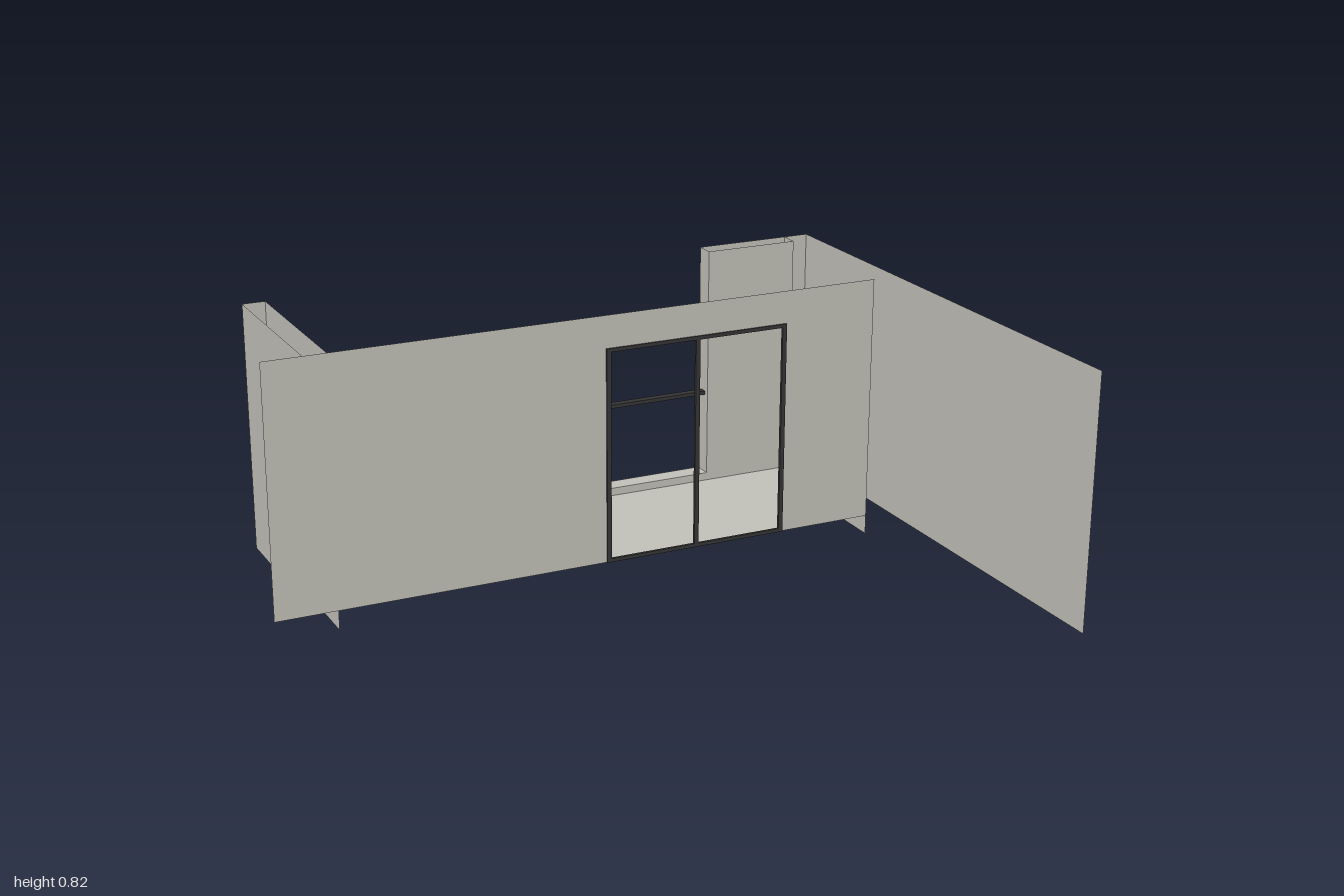
import * as THREE from 'three';

export function createModel() {
  const model = new THREE.Group();
  const plaster = new THREE.MeshStandardMaterial({ color: 0xc4c2ba, side: THREE.DoubleSide });
  plaster.name = 'warm grey plaster';
  const metal = new THREE.MeshStandardMaterial({ color: 0x363636 });
  metal.name = 'dark metal';

  const BASE = 0.06, TOP = 0.825;          // wall heights
  const BACK = -0.8, INNER = -0.74, FRONT = -0.24;
  const LEFT = 0.92, RIGHT = -0.81, OPEN = 0.617;

  function add(name, geometry, material, parent = model) {
    const mesh = new THREE.Mesh(geometry, material);
    mesh.name = name;
    parent.add(mesh);
    return mesh;
  }
  // Thin sheet facing z, spanning x0..x1
  function sheetZ(name, x0, x1, z, y0 = BASE, y1 = TOP) {
    const m = add(name, new THREE.PlaneGeometry(x1 - x0, y1 - y0), plaster);
    m.position.set((x0 + x1) / 2, (y0 + y1) / 2, z);
  }
  // Thin sheet facing x, spanning z0..z1
  function sheetX(name, x, z0, z1, y0 = BASE, y1 = TOP) {
    const m = add(name, new THREE.PlaneGeometry(z1 - z0, y1 - y0), plaster);
    m.rotation.y = Math.PI / 2;
    m.position.set(x, (y0 + y1) / 2, (z0 + z1) / 2);
  }
  function box(name, x0, x1, y0, y1, z0, z1, material, parent) {
    const m = add(name, new THREE.BoxGeometry(x1 - x0, y1 - y0, z1 - z0), material, parent);
    m.position.set((x0 + x1) / 2, (y0 + y1) / 2, (z0 + z1) / 2);
  }

  // Facade wall, notched for the door
  const d0 = 0.028, d1 = 0.62, dTop = 0.725;
  const outline = [[-1, BASE], [d0, BASE], [d0, dTop], [d1, dTop], [d1, BASE],
    [LEFT, BASE], [LEFT, TOP], [-1, TOP]];
  const facade = new THREE.Shape(outline.map(([x, y]) => new THREE.Vector2(x, y)));
  add('facadeWall', new THREE.ShapeGeometry(facade), plaster).position.z = FRONT;

  // Long side wall and the back screen with its hollow return
  sheetX('longSideWall', 1, BACK, 0.8);
  sheetZ('backScreenOuter', OPEN, 1, BACK);
  sheetZ('backScreenInner', OPEN, LEFT, INNER);
  sheetX('backScreenReturn', OPEN, BACK, INNER);
  sheetX('backScreenEnd', LEFT, BACK, INNER);

  // Hollow partition on the right
  sheetX('partitionInner', RIGHT, BACK, FRONT);
  sheetX('partitionOuter', -0.88, BACK, FRONT);
  sheetZ('partitionEnd', -0.88, RIGHT, BACK);

  // Floor sheet with fascia hanging below three edges
  const floor = add('balconyFloor', new THREE.PlaneGeometry(LEFT - RIGHT, FRONT - INNER), plaster);
  floor.rotation.x = -Math.PI / 2;
  floor.position.set((LEFT + RIGHT) / 2, BASE, (FRONT + INNER) / 2);
  sheetZ('backFascia', RIGHT, LEFT, INNER, 0, BASE);
  sheetX('leftFascia', LEFT, INNER, FRONT, 0, BASE);
  sheetX('rightFascia', RIGHT, INNER, FRONT, 0, BASE);

  // Curb and handrail along the open edge
  box('curb', RIGHT, OPEN, BASE, 0.085, BACK, INNER, plaster);
  box('handrail', RIGHT, OPEN, 0.347, 0.359, -0.782, -0.757, metal);

  // Door frame with a central mullion
  const door = new THREE.Group();
  door.name = 'doorFrame';
  model.add(door);
  const t = 0.014, z0 = FRONT - 0.004, z1 = FRONT + 0.005;
  const mid = (d0 + d1) / 2;
  for (const [name, x] of [['rightJamb', d0], ['mullion', mid - t / 2], ['leftJamb', d1 - t]])
    box(name, x, x + t, BASE, dTop, z0, z1, metal, door);
  for (const [name, y] of [['sill', BASE], ['head', dTop - t * 0.8]])
    box(name, d0, d1, y, y + t * 0.8, z0, z1, metal, door);

  return model;
}
